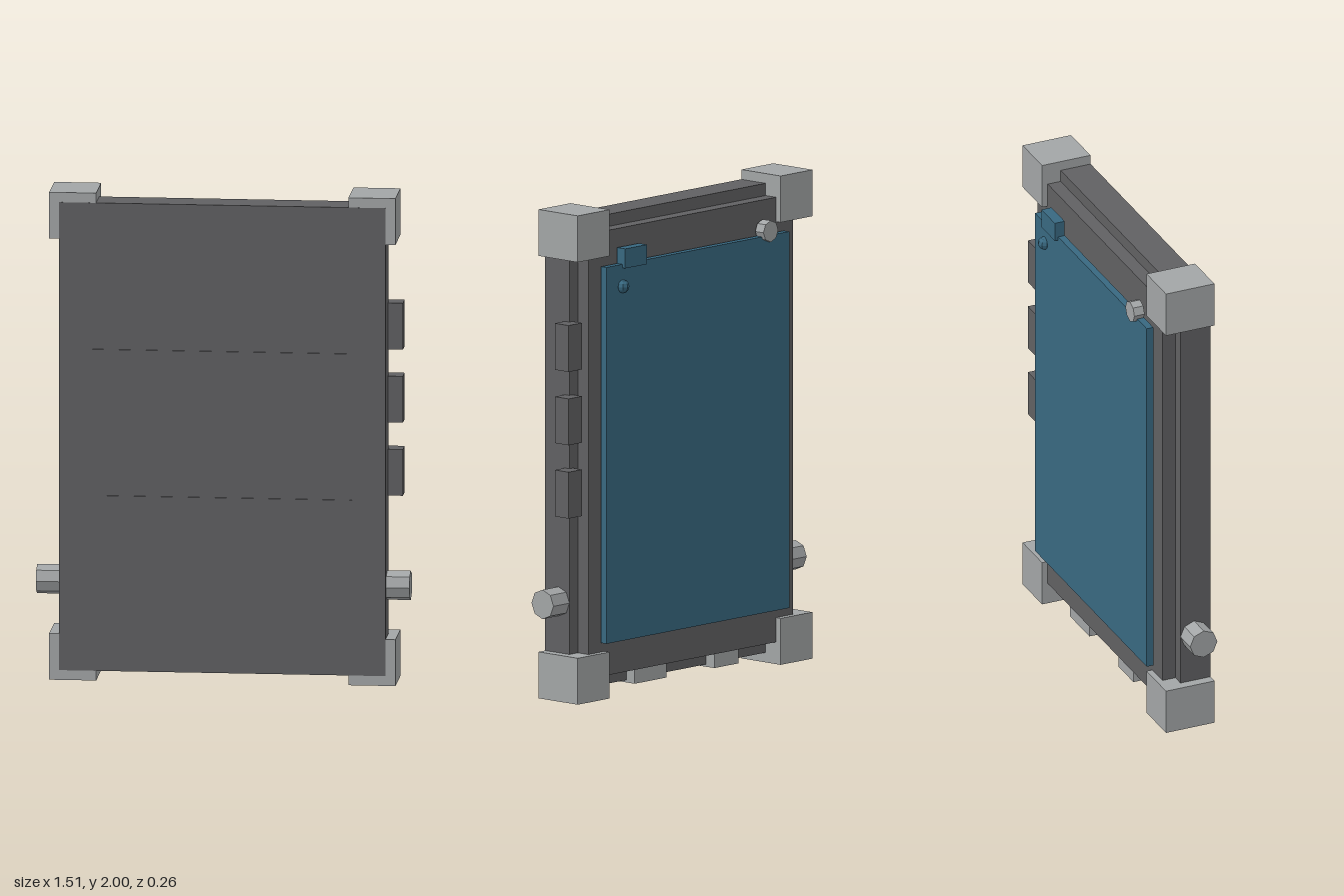
import * as THREE from 'three';

export function createModel() {
  const model = new THREE.Group();
  const mat = (name, color) => {
    const m = new THREE.MeshStandardMaterial({ color });
    m.name = name;
    return m;
  };
  const darkGrey = mat('darkGrey', 0x606062);
  const lightGrey = mat('lightGrey', 0xa2a5a6);
  const blue = mat('blue', 0x386880);

  const add = (name, geometry, material) => {
    const mesh = new THREE.Mesh(geometry, material);
    mesh.name = name;
    model.add(mesh);
    return mesh;
  };
  // Box given by its extents along each axis
  const box = (name, material, [x0, x1], [y0, y1], [z0, z1]) =>
    add(name, new THREE.BoxGeometry(x1 - x0, y1 - y0, z1 - z0), material)
      .position.set((x0 + x1) / 2, (y0 + y1) / 2, (z0 + z1) / 2);
  // Eight-sided faceted cylinder along y
  const octagon = (r, h) => {
    const g = new THREE.CylinderGeometry(r, r, h, 8).toNonIndexed();
    g.computeVertexNormals();
    return g;
  };

  // Case and the smaller raised frame on its back
  box('body', darkGrey, [-0.66, 0.66], [0.04, 1.96], [-0.005, 0.1275]);
  box('bezel', darkGrey, [-0.61, 0.61], [0.09, 1.91], [-0.062, 0]);

  // Corner bumpers
  for (const s of [-1, 1]) {
    const x = s < 0 ? [-0.7, -0.51] : [0.51, 0.7];
    box('cornerBumper', lightGrey, x, [0, 0.19], [-0.087, 0.127]);
    box('cornerBumper', lightGrey, x, [1.81, 2], [-0.087, 0.127]);
  }

  // Raised grip strips on the front
  for (const y of [0.65, 1.25])
    box('gripStrip', darkGrey, [-0.525, 0.525], [y, y + 0.11], [0.12, 0.132]);

  // Row of buttons on the left side
  for (const y of [0.76, 1.06, 1.36])
    box('sideButton', darkGrey, [0.64, 0.72], [y, y + 0.19], [-0.055, 0.02]);

  // Strap pegs on both sides
  for (const s of [-1, 1]) {
    const peg = add('strapPeg', octagon(0.06, 0.135), lightGrey);
    peg.rotation.z = Math.PI / 2;
    peg.position.set(s * 0.6875, 0.4, 0.055);
  }

  // Ports under the lower edge
  box('port', lightGrey, [0.13, 0.32], [0.03, 0.1], [-0.05, 0.03]);
  box('port', lightGrey, [-0.3, -0.155], [0.03, 0.1], [-0.05, 0.03]);

  // Back panel with its clip, stud and knob
  box('panel', blue, [-0.545, 0.545], [0.23, 1.77], [-0.102, -0.073]);
  box('clip', blue, [0.32, 0.45], [1.755, 1.835], [-0.117, -0.073]);
  const studGeometry = new THREE.SphereGeometry(0.027, 8, 6).toNonIndexed();
  studGeometry.computeVertexNormals();
  add('stud', studGeometry, blue).position.set(0.45, 1.68, -0.104);
  const knob = add('knob', octagon(0.044, 0.045), lightGrey);
  knob.rotation.x = Math.PI / 2;
  knob.position.set(-0.417, 1.79, -0.096);

  return model;
}
